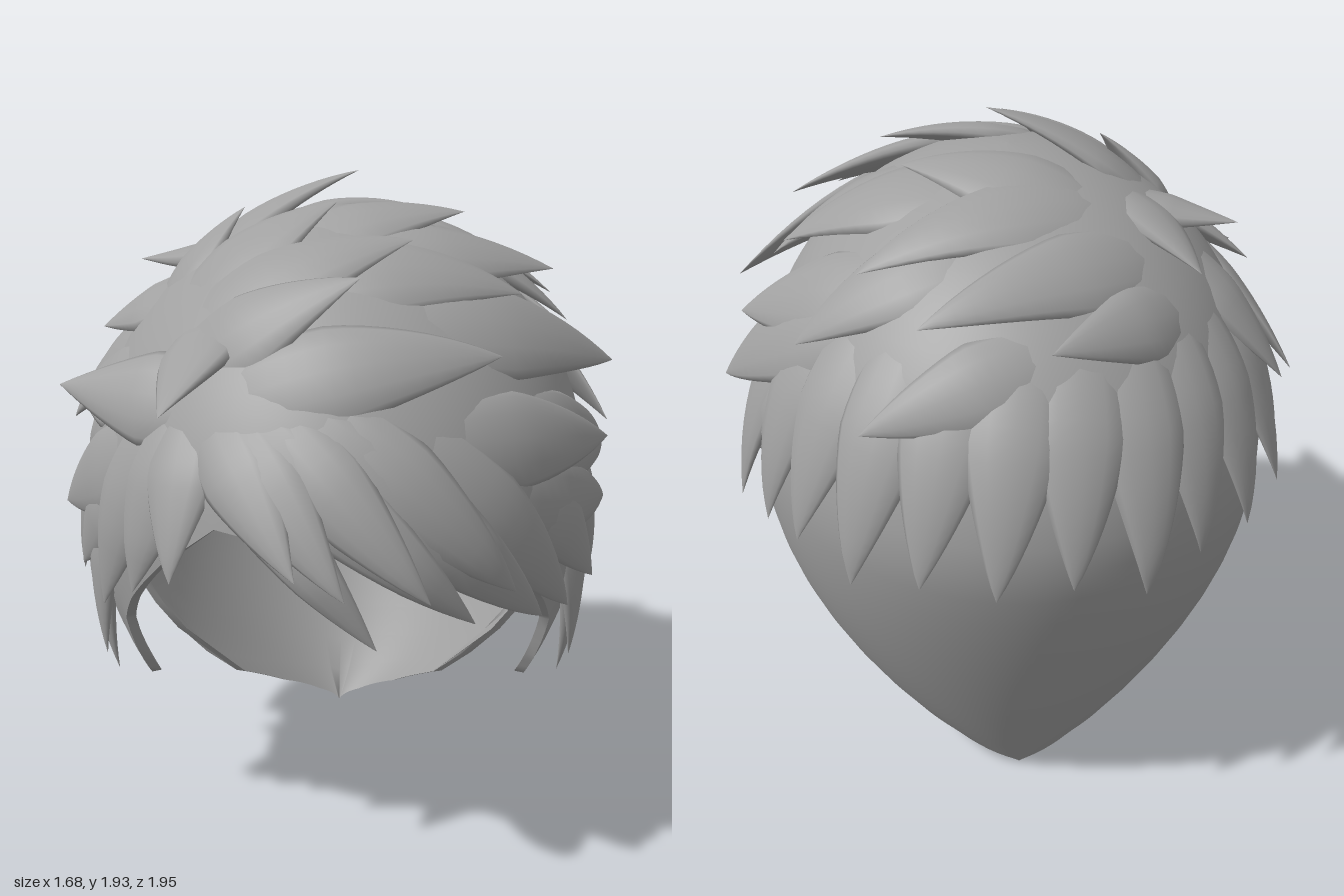
import * as THREE from 'three';

const hair = new THREE.MeshStandardMaterial({ color: 0xa0a0a0, side: THREE.DoubleSide });
hair.name = 'hair grey';
const V = (x, y, z) => new THREE.Vector3(x, y, z);
const CENTRE = V(0, 1, 0);
const RAD = Math.PI / 180;

// Seeded noise in -1..1
let seed = 7;
const rnd = () => ((seed = (seed * 16807) % 2147483647) / 2147483647) * 2 - 1;

// Horizontal section of the scalp at height y: half width, front and back depth, centre z
function section(y, off = 0) {
  if (y >= 1) {
    const k = Math.sqrt(Math.max(0, 1 - ((y - 1) / (0.83 - off)) ** 2));
    return { w: (0.755 - off) * k, front: (0.92 - off) * k, back: (0.9 - off) * k, zc: 0 };
  }
  const s = Math.min(1, 1 - y);
  const zc = -0.46 * s ** 3.7;
  const w = 0.755 * Math.pow(1 - s ** 2.2, 0.75) - off;
  const back = 0.9 - 0.42 * s ** 1.3 + zc - off;
  return { w: Math.max(w, 0.015), front: 0.92 - 0.2 * s - zc - off, back: Math.max(back, 0.015), zc };
}

// Point of the section at height y, by angle in radians from the front
function onScalp(y, angle, off = 0) {
  const { w, front, back, zc } = section(y, off);
  const c = Math.cos(angle);
  return V(w * Math.sin(angle), y, zc + (c > 0 ? front : back) * c);
}

// Distance from the centre to the scalp along a direction
function reach(dir) {
  let lo = 0, hi = 1.3;
  for (let i = 0; i < 22; i++) {
    const m = (lo + hi) / 2, y = 1 + dir.y * m;
    const { w, front, back, zc } = section(y);
    const z = dir.z * m - zc;
    const sum = (dir.x * m / w) ** 2 + (z / (z > 0 ? front : back)) ** 2;
    if (y > 0 && y < 1.83 && sum < 1) lo = m; else hi = m;
  }
  return lo;
}

// Surface through closed loops of points
function loft(rows, name) {
  const n = rows[0].length, pos = [], idx = [];
  rows.forEach(r => r.forEach(p => pos.push(p.x, p.y, p.z)));
  for (let i = 0; i < rows.length - 1; i++) for (let j = 0; j < n; j++) {
    const a = i * n + j, b = i * n + (j + 1) % n;
    idx.push(a, a + n, b, b, a + n, b + n);
  }
  const g = new THREE.BufferGeometry();
  g.setAttribute('position', new THREE.Float32BufferAttribute(pos, 3));
  g.setIndex(idx);
  g.computeVertexNormals();
  const mesh = new THREE.Mesh(g, hair);
  mesh.name = name;
  return mesh;
}

// Height of the lower edge, by angle from the front
const HEM = [[0, 1.07], [24, 1.1], [37, 0.97], [50, 0.81], [57, 0.71], [60, 0.57], [63, 0.49], [69, 0.54],
  [76, 0.59], [88, 0.75], [96, 0.69], [100, 0.61], [102, 0.4], [103, 0.2], [118, 0.11], [140, 0.05], [180, 0]];
function hem(angle) {
  const a = Math.min(angle, 360 - angle);
  const i = Math.max(1, HEM.findIndex(k => k[0] >= a));
  const [a0, y0] = HEM[i - 1], [a1, y1] = HEM[i];
  return y0 + (y1 - y0) * (a - a0) / (a1 - a0);
}

function shellRow(v, off) {
  const row = [];
  for (let a = 0; a < 360; a += 1) {
    const h = hem(a);
    row.push(onScalp(h + (1.83 - off - h) * Math.cos(v * Math.PI / 2), a * RAD, off));
  }
  return row;
}

// Broad tapered lock that hugs the scalp from root to tip and lifts off towards the end
function lock(root, tip, width, name) {
  const a = V(...root).sub(CENTRE), b = V(...tip).sub(CENTRE);
  const tipLift = b.length() - reach(b.clone().normalize());
  a.normalize().multiplyScalar(b.length());
  const N = 16, path = [], rows = [];
  for (let i = 0; i <= N; i++) {
    const t = i / N, dir = a.clone().lerp(b, t).normalize();
    const r = reach(dir) + tipLift * t ** 2.2 - 0.045 * (1 - t) ** 1.5;
    path.push(dir.multiplyScalar(r).add(CENTRE));
  }
  for (let i = 0; i <= N; i++) {
    const t = i / N, p = path[i];
    const T = path[Math.min(N, i + 1)].clone().sub(path[Math.max(0, i - 1)]).normalize();
    const out = p.clone().sub(CENTRE).normalize();
    const side = T.clone().cross(out).normalize();
    const up = side.clone().cross(T);
    const taper = Math.min(1, 0.55 + t) * (1 - t ** 1.8) + 0.004;
    rows.push(Array.from({ length: 12 }, (_, j) => {
      const q = j / 12 * Math.PI * 2, across = Math.cos(q) * width * taper;
      return p.clone().addScaledVector(side, across)
        .addScaledVector(up, Math.sin(q) * 0.045 * taper - 0.6 * across * across);
    }));
  }
  return loft(rows, name);
}

// Root, tip and half width of each lock
const CROWN = [
  [[-0.45, 1.65, 0.05], [0.06, 1.93, 0], 0.2], [[-0.45, 1.6, 0.4], [0, 1.86, 0.26], 0.2],
  [[-0.5, 1.55, 0.2], [-0.27, 1.83, 0.08], 0.15], [[-0.15, 1.8, 0.3], [0.36, 1.82, 0.12], 0.19],
  [[-0.25, 1.75, -0.35], [0.3, 1.8, -0.09], 0.2], [[0, 1.7, 0.4], [0.62, 1.66, 0.13], 0.19],
  [[0.05, 1.7, -0.2], [0.64, 1.57, -0.03], 0.2], [[0.1, 1.55, 0.6], [0.8, 1.4, 0.16], 0.2],
  [[0.25, 1.5, -0.45], [0.84, 1.17, -0.05], 0.2], [[0.3, 1.6, -0.5], [0.77, 1.38, -0.08], 0.18],
  [[-0.45, 1.45, 0.6], [0.06, 1.7, 0.65], 0.17], [[-0.35, 1.4, 0.75], [0.42, 1.5, 0.64], 0.18],
  [[-0.4, 1.5, 0.5], [0.2, 1.77, 0.42], 0.19], [[-0.2, 1.7, 0.55], [0.5, 1.62, 0.36], 0.19],
  [[0.2, 1.75, 0], [0.68, 1.5, 0.06], 0.18],
];
const SIDES = [
  [[0.2, 1.3, 0.8], [0.76, 1.22, 0.35], 0.17], [[0.35, 1.3, 0.75], [0.81, 1.13, 0.02], 0.18],
  [[0.4, 1.15, 0.75], [0.79, 1, 0.2], 0.16], [[0.5, 1.3, -0.45], [0.8, 0.98, -0.06], 0.17],
  [[0.65, 1.2, 0.25], [0.77, 0.74, 0.14], 0.13], [[0.5, 1.2, 0.65], [0.73, 0.82, 0.4], 0.14],
  [[-0.5, 1.5, 0.2], [-0.84, 1.16, -0.12], 0.2], [[-0.35, 1.4, 0.7], [-0.76, 1.38, 0.42], 0.17],
  [[-0.45, 1.65, 0.2], [-0.71, 1.47, 0], 0.16], [[-0.35, 1.75, -0.1], [-0.62, 1.65, -0.2], 0.15],
  [[-0.55, 1.4, 0.45], [-0.77, 1.3, 0.1], 0.17], [[-0.7, 1.2, 0.3], [-0.79, 0.73, 0.1], 0.13],
  [[-0.55, 1.25, 0.6], [-0.81, 0.98, 0.2], 0.17], [[-0.6, 1.15, 0.5], [-0.75, 0.82, 0.3], 0.14],
  [[-0.45, 1.6, -0.2], [-0.74, 1.25, -0.36], 0.17], [[-0.65, 1.3, 0.05], [-0.8, 0.98, -0.15], 0.15],
  [[-0.35, 1.6, 0.5], [-0.43, 1.39, 0.86], 0.15],
];
const BANGS = [
  [[-0.35, 1.4, 0.75], [0.1, 0.82, 0.94], 0.13], [[-0.3, 1.42, 0.75], [0.35, 0.86, 0.86], 0.15],
  [[-0.2, 1.42, 0.75], [0.55, 0.8, 0.66], 0.17], [[0.1, 1.35, 0.75], [0.64, 0.78, 0.53], 0.15],
  [[-0.35, 1.4, 0.75], [-0.1, 1.02, 1], 0.14], [[-0.3, 1.4, 0.75], [0.02, 0.97, 1], 0.14],
  [[-0.2, 1.4, 0.75], [0.23, 0.95, 0.96], 0.14], [[-0.1, 1.4, 0.75], [0.46, 0.92, 0.79], 0.16],
  [[-0.4, 1.4, 0.7], [-0.42, 0.96, 0.85], 0.14], [[-0.4, 1.4, 0.7], [-0.54, 0.88, 0.7], 0.15],
  [[-0.45, 1.35, 0.6], [-0.65, 0.78, 0.53], 0.15],
];
const BACK = [
  [[-0.4, 1.6, -0.35], [0.27, 1.57, -0.69], 0.16], [[-0.45, 1.5, -0.45], [-0.05, 1.53, -0.77], 0.14],
  [[-0.3, 1.7, -0.25], [0.42, 1.62, -0.44], 0.17], [[-0.3, 1.75, -0.1], [-0.47, 1.6, -0.45], 0.14],
  [[0.05, 1.7, -0.45], [0.59, 1.43, -0.44], 0.17], [[-0.1, 1.5, -0.7], [0.42, 1.32, -0.75], 0.15],
];

export function createModel() {
  const model = new THREE.Group();
  model.name = 'hair';

  // Scalp shell: outside, rim and inside
  const steps = Array.from({ length: 29 }, (_, i) => i / 28);
  model.add(loft(steps.map(v => shellRow(v, 0)), 'outerShell'));
  model.add(loft([shellRow(1, 0), shellRow(1, 0.03)], 'shellRim'));
  model.add(loft(steps.map(v => shellRow(1 - v, 0.03)), 'innerShell'));

  // Hand-placed locks
  const addAll = (list, name) => {
    const group = new THREE.Group();
    group.name = name + 's';
    list.forEach(([root, tip, width]) => group.add(lock(root, tip, width, name)));
    model.add(group);
  };
  addAll(CROWN, 'crownLock');
  addAll(SIDES, 'sideLock');
  addAll(BANGS, 'bang');
  addAll(BACK, 'backLock');

  // Sideburns, two tapering strands on each side
  const burns = [];
  for (const s of [-1, 1]) burns.push(
    [[s * 0.7, 1.1, 0.35], [s * 0.66, 0.48, 0.3], 0.12],
    [[s * 0.7, 1.1, 0.42], [s * 0.68, 0.56, 0.37], 0.1]);
  addAll(burns, 'sideburn');

  // Long locks falling from the crown over the nape
  const falls = [], count = 12;
  for (let i = 0; i < count; i++) {
    const a = (105 + 150 * i / (count - 1)) * RAD;
    const tip = onScalp(0.93 + 0.06 * rnd(), a, -0.06 - 0.02 * rnd());
    falls.push([onScalp(1.55, a + 0.1).toArray(), tip.toArray(), 0.16]);
  }
  addAll(falls, 'napeLock');
  return model;
}
